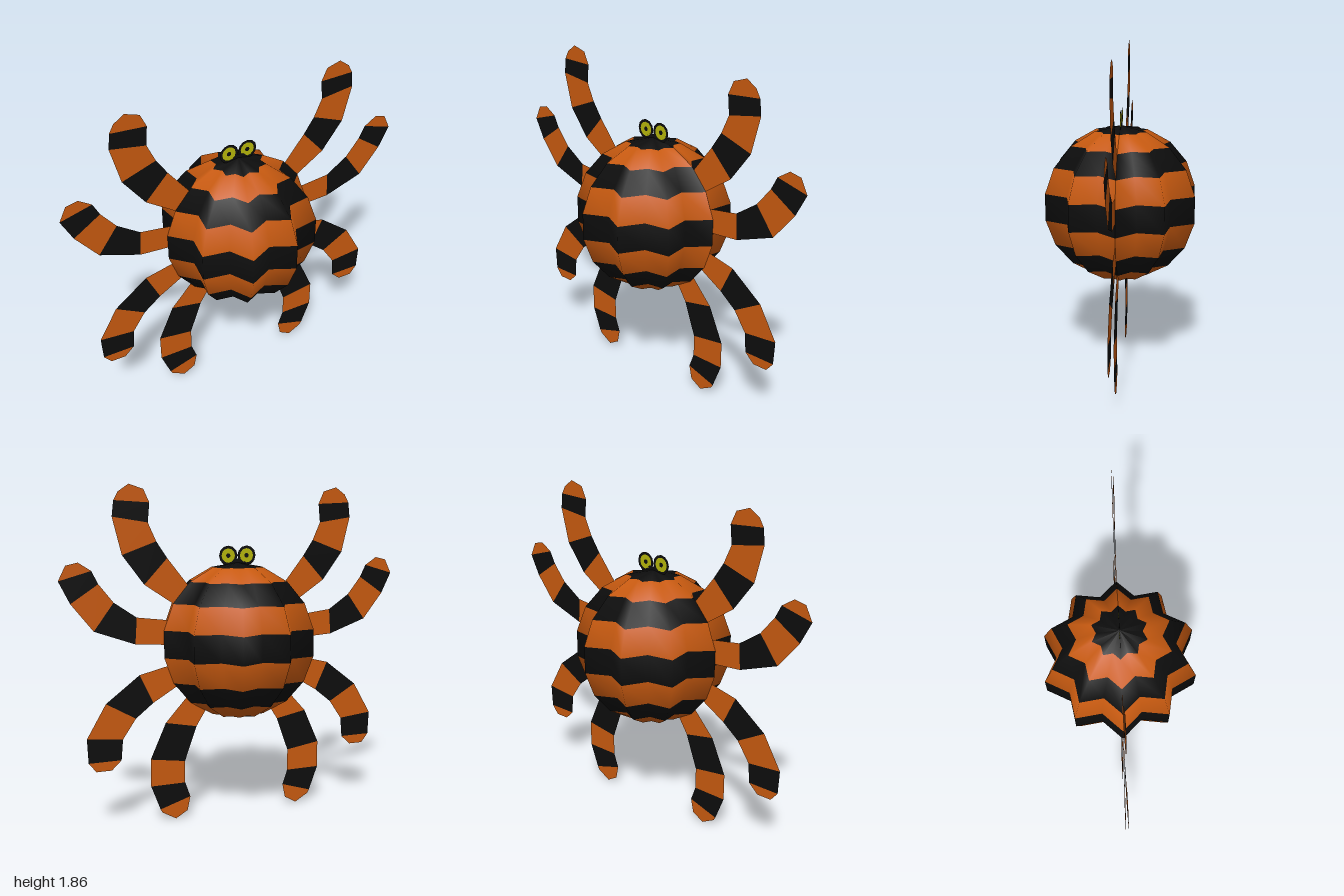
import * as THREE from 'three';

const orange = new THREE.MeshStandardMaterial({ color: 0xc85a10, side: THREE.DoubleSide });
orange.name = 'orange';
const black = new THREE.MeshStandardMaterial({ color: 0x0d0d0d, side: THREE.DoubleSide });
black.name = 'black';
const yellow = new THREE.MeshStandardMaterial({ color: 0xb6b60a, side: THREE.DoubleSide });
yellow.name = 'yellow';

function addMesh(parent, name, geometry, material) {
  const mesh = new THREE.Mesh(geometry, material);
  mesh.name = name;
  parent.add(mesh);
  return mesh;
}

// Ball with ten ridges, striped ring by ring
function createBody() {
  const rings = 9, around = 20, radius = 0.44, valley = 0.8;
  const geometry = new THREE.SphereGeometry(radius, around, rings, Math.PI);
  const pos = geometry.attributes.position;
  for (let i = 0; i < pos.count; i++) {
    const s = (i % (around + 1)) % 2 ? valley : 1;
    pos.setXYZ(i, pos.getX(i) * s, pos.getY(i), pos.getZ(i) * s);
  }
  geometry.computeVertexNormals();
  // The cap rings hold one triangle per side, the others two
  let start = 0;
  for (let r = 0; r < rings; r++) {
    const count = around * (r === 0 || r === rings - 1 ? 3 : 6);
    geometry.addGroup(start, count, r % 2);
    start += count;
  }
  const body = new THREE.Mesh(geometry, [black, orange]);
  body.name = 'body';
  body.position.y = 1;
  return body;
}

// Each leg: pairs of outer and inner edge points at the stripe borders,
// from the root outwards, then the corners of the rounded tip
const legs = [
  {
    name: 'topLeg',
    pairs: [[0.27, 1.15, 0.18, 1.18], [0.54, 1.33, 0.41, 1.47], [0.66, 1.49, 0.47, 1.56],
      [0.71, 1.69, 0.515, 1.66], [0.7, 1.775, 0.505, 1.765]],
    tip: [[0.675, 1.82], [0.617, 1.86], [0.537, 1.835]],
  },
  {
    name: 'upperLeg',
    pairs: [[0.3, 0.99, 0.3, 1.12], [0.595, 1.01, 0.585, 1.155], [0.82, 1.09, 0.71, 1.24],
      [0.94, 1.24, 0.79, 1.34], [1.0, 1.36, 0.825, 1.41]],
    tip: [[0.96, 1.44], [0.895, 1.455]],
  },
  {
    name: 'lowerLeg',
    pairs: [[0.25, 0.92, 0.25, 0.83], [0.575, 0.84, 0.5, 0.68], [0.765, 0.695, 0.6, 0.6],
      [0.873, 0.51, 0.675, 0.49], [0.867, 0.375, 0.685, 0.375]],
    tip: [[0.825, 0.323], [0.74, 0.323]],
  },
  {
    name: 'bottomLeg',
    pairs: [[0.24, 0.77, 0.14, 0.7], [0.43, 0.56, 0.25, 0.525], [0.52, 0.36, 0.32, 0.33],
      [0.52, 0.205, 0.32, 0.205], [0.467, 0.065, 0.29, 0.12]],
    tip: [[0.456, 0.045], [0.376, 0], [0.307, 0.04]],
  },
];

// Flat striped leg cut from a thin sheet
function createLeg({ name, pairs, tip }, side) {
  const leg = new THREE.Group();
  leg.name = (side > 0 ? 'left ' : 'right ') + name;
  pairs.forEach(([ox, oy, ix, iy], i) => {
    const next = pairs[i + 1];
    const far = next ? [[next[0], next[1]], [next[2], next[3]]] : tip;
    const outline = [[ox, oy], ...far, [ix, iy]].map(([x, y]) => new THREE.Vector2(x * side, y));
    const geometry = new THREE.ShapeGeometry(new THREE.Shape(outline));
    addMesh(leg, next ? 'legStripe' : 'legTip', geometry, i % 2 ? black : orange);
  });
  return leg;
}

// Flat eye of nested rings
function createEye(side) {
  const eye = new THREE.Group();
  eye.name = side > 0 ? 'leftEye' : 'rightEye';
  addMesh(eye, 'eyeRim', new THREE.RingGeometry(0.04, 0.055, 12), black);
  addMesh(eye, 'iris', new THREE.RingGeometry(0.013, 0.04, 12), yellow);
  addMesh(eye, 'pupil', new THREE.CircleGeometry(0.013, 12), black);
  eye.position.set(0.055 * side, 1.478, 0);
  return eye;
}

export function createModel() {
  const model = new THREE.Group();
  model.name = 'stripedSpider';
  model.add(createBody());
  for (const side of [1, -1]) {
    for (const leg of legs) model.add(createLeg(leg, side));
    model.add(createEye(side));
  }
  // Base that joins the eyes to the body
  const mount = new THREE.Shape([[-0.07, 1.425], [0.07, 1.425], [0.03, 1.46], [-0.03, 1.46]]
    .map(([x, y]) => new THREE.Vector2(x, y)));
  addMesh(model, 'eyeMount', new THREE.ShapeGeometry(mount), black);
  return model;
}
